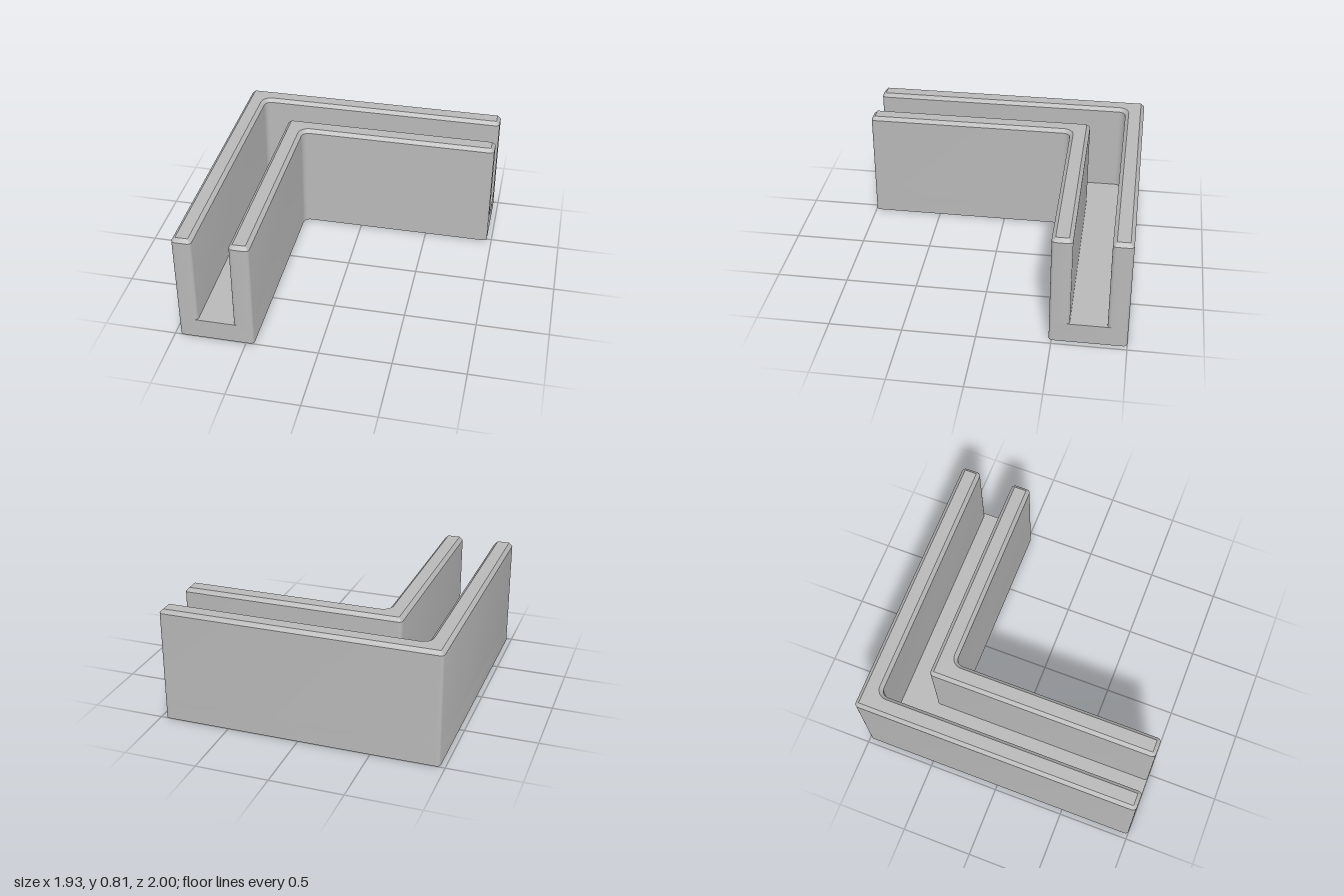
import * as THREE from 'three';
import { toCreasedNormals } from 'three/addons/utils/BufferGeometryUtils.js';

const HALF_X = 0.965, HALF_Z = 1;
const FLOOR = 0.145, TOP = 0.805, CHAMFER = 0.025;
const CONVEX_R = 0.027, CONCAVE_R = 0.05, ARC_STEPS = 6;

// Corners of an L-shaped strip in plan (x, -z), counterclockwise;
// offset is measured inward from the outer faces.
function corners(offset, thickness) {
  const a = -HALF_X + offset, b = HALF_Z - offset;
  return [
    [a, -HALF_Z], [a + thickness, -HALF_Z], [a + thickness, b - thickness],
    [HALF_X, b - thickness], [HALF_X, b], [a, b],
  ].map(([x, y]) => new THREE.Vector2(x, y));
}

// Outline moved inward by inset, with every corner rounded by an arc
function outline(pts, inset) {
  const ring = [];
  pts.forEach((p, i) => {
    const n = pts.length;
    const din = p.clone().sub(pts[(i + n - 1) % n]).normalize();
    const dout = pts[(i + 1) % n].clone().sub(p).normalize();
    const convex = din.cross(dout) > 0;
    const r = convex ? CONVEX_R : CONCAVE_R;
    const centre = p.clone().addScaledVector(din, -r).addScaledVector(dout, r);
    const radius = convex ? r - inset : r + inset;
    for (let k = 0; k <= ARC_STEPS; k++) {
      const t = (k / ARC_STEPS) * Math.PI / 2;
      ring.push(centre.clone()
        .addScaledVector(din, radius * Math.sin(t))
        .addScaledVector(dout, -radius * Math.cos(t)));
    }
  });
  return ring;
}

// Stack outlines at [height, inset] levels, closing the top and optionally the bottom
function loft(pts, levels, closeBottom) {
  const rings = levels.map(([, inset]) => outline(pts, inset));
  const n = rings[0].length, last = rings.length - 1;
  const position = [], index = [];
  rings.forEach((ring, l) => ring.forEach((p) => position.push(p.x, levels[l][0], -p.y)));
  for (let l = 0; l < last; l++) {
    for (let i = 0; i < n; i++) {
      const a = l * n + i, b = l * n + (i + 1) % n;
      index.push(a, b, b + n, a, b + n, a + n);
    }
  }
  for (const [a, b, c] of THREE.ShapeUtils.triangulateShape(rings[last], [])) {
    index.push(last * n + a, last * n + b, last * n + c);
  }
  if (closeBottom) {
    for (const [a, b, c] of THREE.ShapeUtils.triangulateShape(rings[0], [])) index.push(a, c, b);
  }
  const geometry = new THREE.BufferGeometry();
  geometry.setAttribute('position', new THREE.Float32BufferAttribute(position, 3));
  geometry.setIndex(index);
  return toCreasedNormals(geometry, 0.5);
}

export function createModel() {
  const model = new THREE.Group();
  model.name = 'cornerChannel';
  const grey = new THREE.MeshStandardMaterial({ color: 0xb8b8b8 });
  grey.name = 'grey';

  const add = (name, geometry) => {
    const mesh = new THREE.Mesh(geometry, grey);
    mesh.name = name;
    model.add(mesh);
  };

  // Solid L-shaped base whose top is the channel floor
  add('base', loft(corners(0, 0.52), [[0, 0], [FLOOR, 0]], true));

  // Two parallel walls with chamfered top edges
  const wallLevels = [[FLOOR, 0], [TOP - CHAMFER, 0], [TOP, CHAMFER]];
  add('outerWall', loft(corners(0, 0.136), wallLevels, false));
  add('innerWall', loft(corners(0.383, 0.137), wallLevels, false));

  return model;
}
